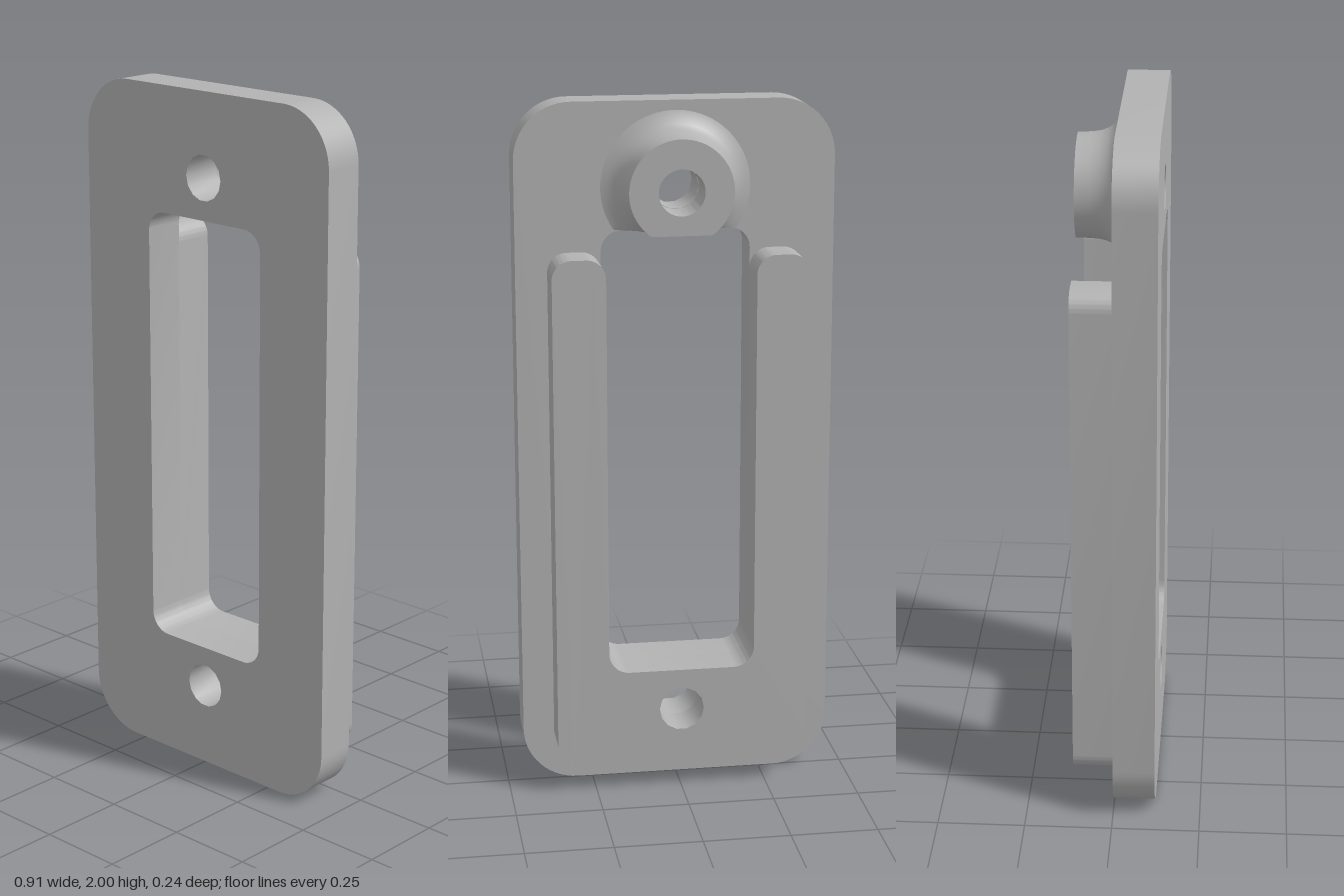
import * as THREE from 'three';
import { toCreasedNormals } from 'three/addons/utils/BufferGeometryUtils.js';

const HALF_PI = Math.PI / 2;

// Adds a rounded rectangle outline to a path
function roundedRect(path, x0, y0, x1, y1, r) {
  path.moveTo(x0 + r, y0);
  path.lineTo(x1 - r, y0);
  path.absarc(x1 - r, y0 + r, r, -HALF_PI, 0);
  path.absarc(x1 - r, y1 - r, r, 0, HALF_PI);
  path.absarc(x0 + r, y1 - r, r, HALF_PI, Math.PI);
  path.absarc(x0 + r, y0 + r, r, Math.PI, Math.PI * 1.5);
  path.closePath();
  return path;
}

function circleHole(y, r) {
  return new THREE.Path().absarc(0, y, r, 0, Math.PI * 2, true);
}

export function createModel() {
  const group = new THREE.Group();
  const grey = new THREE.MeshStandardMaterial({ color: 0xb2b2b2 });
  grey.name = 'grey';

  const depth = 0.12;
  const windowTop = 1.64, windowBottom = 0.365, windowHalf = 0.212;
  const topHoleY = 1.76, bottomHoleY = 0.245, holeR = 0.065;

  function add(name, geometry) {
    const mesh = new THREE.Mesh(toCreasedNormals(geometry, 0.5), grey);
    mesh.name = name;
    group.add(mesh);
  }
  function extrude(shape) {
    return new THREE.ExtrudeGeometry(shape, { depth, bevelEnabled: false, curveSegments: 7 });
  }

  // Front plate with a window and two screw holes
  const plate = roundedRect(new THREE.Shape(), -0.453, 0, 0.453, 2, 0.16);
  plate.holes.push(
    roundedRect(new THREE.Path(), -windowHalf, windowBottom, windowHalf, windowTop, 0.06),
    circleHole(topHoleY, holeR),
    circleHole(bottomHoleY, holeR)
  );
  add('frontPlate', extrude(plate));

  // U-shaped rim behind the plate, open at the top
  const w = 0.363, y0 = 0.098, y1 = 1.58, r = 0.055, ri = 0.06;
  const rim = new THREE.Shape();
  rim.moveTo(-w + r, y0);
  rim.absarc(w - r, y0 + r, r, -HALF_PI, 0);
  rim.absarc(w - r, y1 - r, r, 0, HALF_PI);
  rim.absarc(windowHalf + r, y1 - r, r, HALF_PI, Math.PI);
  rim.absarc(windowHalf - ri, windowBottom + ri, ri, 0, -HALF_PI, true);
  rim.absarc(-windowHalf + ri, windowBottom + ri, ri, -HALF_PI, -Math.PI, true);
  rim.absarc(-windowHalf - r, y1 - r, r, 0, HALF_PI);
  rim.absarc(-w + r, y1 - r, r, HALF_PI, Math.PI);
  rim.absarc(-w + r, y0 + r, r, Math.PI, Math.PI * 1.5);
  rim.holes.push(circleHole(bottomHoleY, holeR));
  add('rearRim', extrude(rim).translate(0, 0, -depth));

  // Flared screw boss, cut flat where it meets the window
  const profile = [
    [0.212, 0], [0.192, 0.006], [0.175, 0.017], [0.162, 0.033], [0.153, 0.055],
    [0.149, 0.08], [0.147, depth], [holeR, depth], [holeR, 0]
  ].map(([x, y]) => new THREE.Vector2(x, y));
  const boss = new THREE.LatheGeometry(profile, 72).rotateX(-HALF_PI);
  const pos = boss.attributes.position;
  for (let i = 0; i < pos.count; i++) {
    pos.setY(i, Math.max(pos.getY(i), windowTop - topHoleY));
  }
  boss.translate(0, topHoleY, 0);
  add('screwBoss', boss);

  return group;
}
